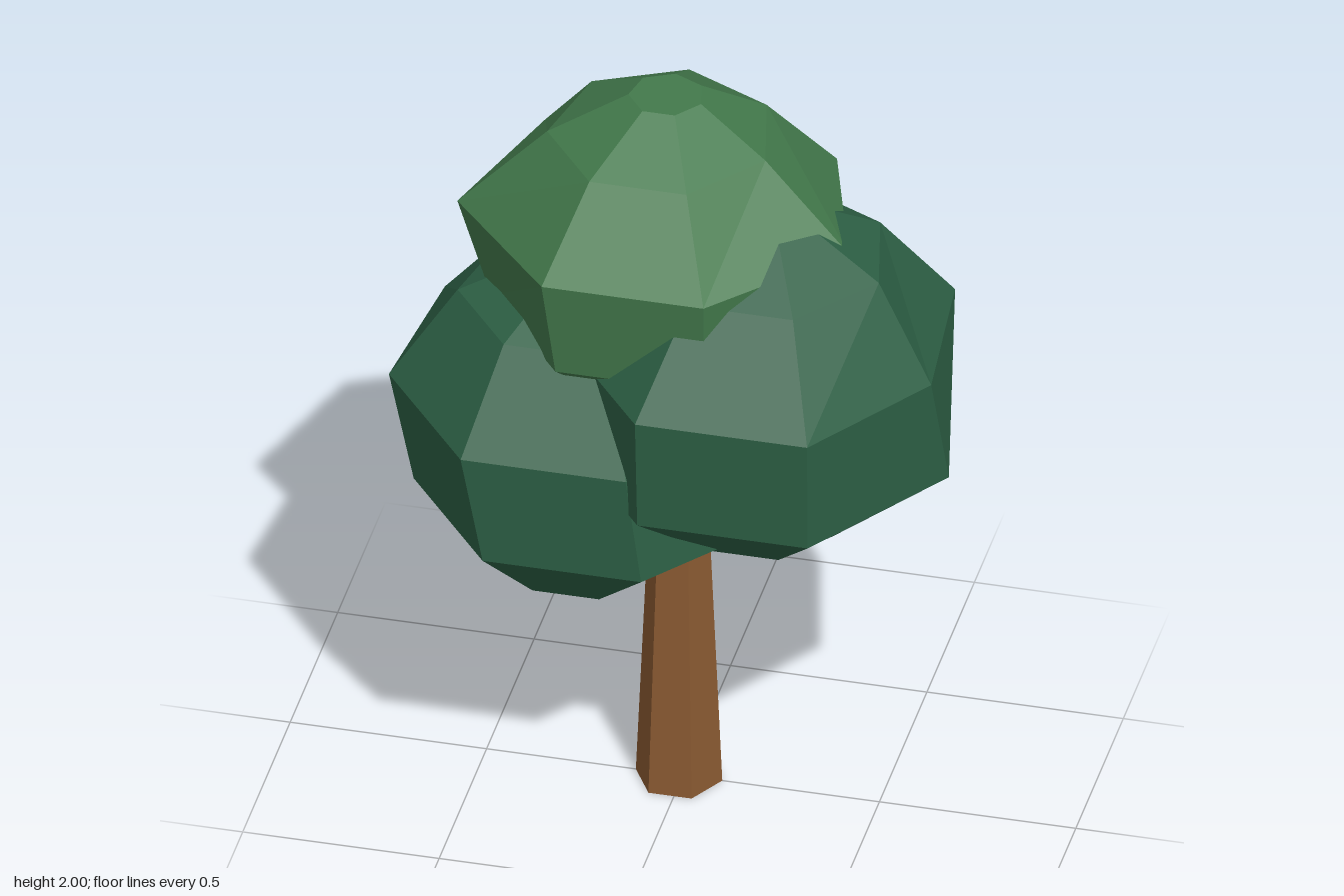
import * as THREE from 'three';

const SIDES = 7;

// Faceted clump of leaves: heptagonal rings from top to bottom, closed by flat caps.
// rings: [y, centreX, centreZ, radius]; nudges: [ring, corner, dx, dz]
function foliage(name, color, rings, nudges = []) {
  const corners = rings.map(([y, cx, cz, r]) =>
    Array.from({ length: SIDES }, (_, k) => {
      const a = (k / SIDES) * Math.PI * 2;
      return new THREE.Vector3(cx + r * Math.sin(a), y, cz - r * Math.cos(a));
    }));
  for (const [ring, k, dx, dz] of nudges) {
    corners[ring][k].x += dx;
    corners[ring][k].z += dz;
  }

  const points = [];
  const top = corners[0];
  const bottom = corners[corners.length - 1];
  // Side bands
  for (let i = 0; i < corners.length - 1; i++) {
    for (let k = 0; k < SIDES; k++) {
      const n = (k + 1) % SIDES;
      const a = corners[i][k], b = corners[i][n];
      const c = corners[i + 1][k], d = corners[i + 1][n];
      points.push(a, b, d, a, d, c);
    }
  }
  // Flat caps
  for (let k = 1; k < SIDES - 1; k++) {
    points.push(top[0], top[k + 1], top[k]);
    points.push(bottom[0], bottom[k], bottom[k + 1]);
  }

  const geometry = new THREE.BufferGeometry().setFromPoints(points);
  geometry.computeVertexNormals();
  const mesh = new THREE.Mesh(geometry, new THREE.MeshStandardMaterial({ color, flatShading: true }));
  mesh.name = name;
  return mesh;
}

export function createModel() {
  const tree = new THREE.Group();
  tree.name = 'tree';

  // Tapered six-sided trunk, running up into the leaves
  const height = 1.0;
  const trunk = new THREE.Mesh(
    new THREE.CylinderGeometry(0.067, 0.11, height, 6, 1, false, Math.PI / 2),
    new THREE.MeshStandardMaterial({ color: 0x8a5a32, flatShading: true }));
  trunk.name = 'trunk';
  trunk.position.set(-0.01, height / 2, 0);
  tree.add(trunk);

  const darkGreen = 0x2d6045;
  const lightGreen = 0x437a4c;

  // Low clump on the right
  tree.add(foliage('rightFoliage', darkGreen, [
    [1.53, -0.24, 0.02, 0.10],
    [1.42, -0.25, 0.02, 0.31],
    [1.17, -0.245, 0.024, 0.484],
    [0.87, -0.20, 0.03, 0.465],
    [0.63, -0.25, 0.025, 0.195],
  ], [[2, 6, -0.05, 0]]));

  // Middle clump on the left
  tree.add(foliage('leftFoliage', darkGreen, [
    [1.74, 0.23, 0.05, 0.11],
    [1.63, 0.225, 0.05, 0.31],
    [1.38, 0.22, 0.055, 0.505],
    [1.07, 0.22, 0.045, 0.50],
    [0.83, 0.21, 0.04, 0.195],
  ], [[2, 2, -0.04, 0], [2, 1, 0.015, 0], [3, 2, -0.005, -0.05]]));

  // Lighter clump on top
  tree.add(foliage('topFoliage', lightGreen, [
    [2.0, -0.05, -0.035, 0.095],
    [1.89, -0.06, -0.03, 0.285],
    [1.67, -0.06, -0.038, 0.475],
    [1.40, -0.05, -0.035, 0.435],
    [1.19, -0.05, -0.03, 0.18],
  ], [[2, 2, 0.035, 0], [2, 5, -0.035, 0]]));

  return tree;
}
